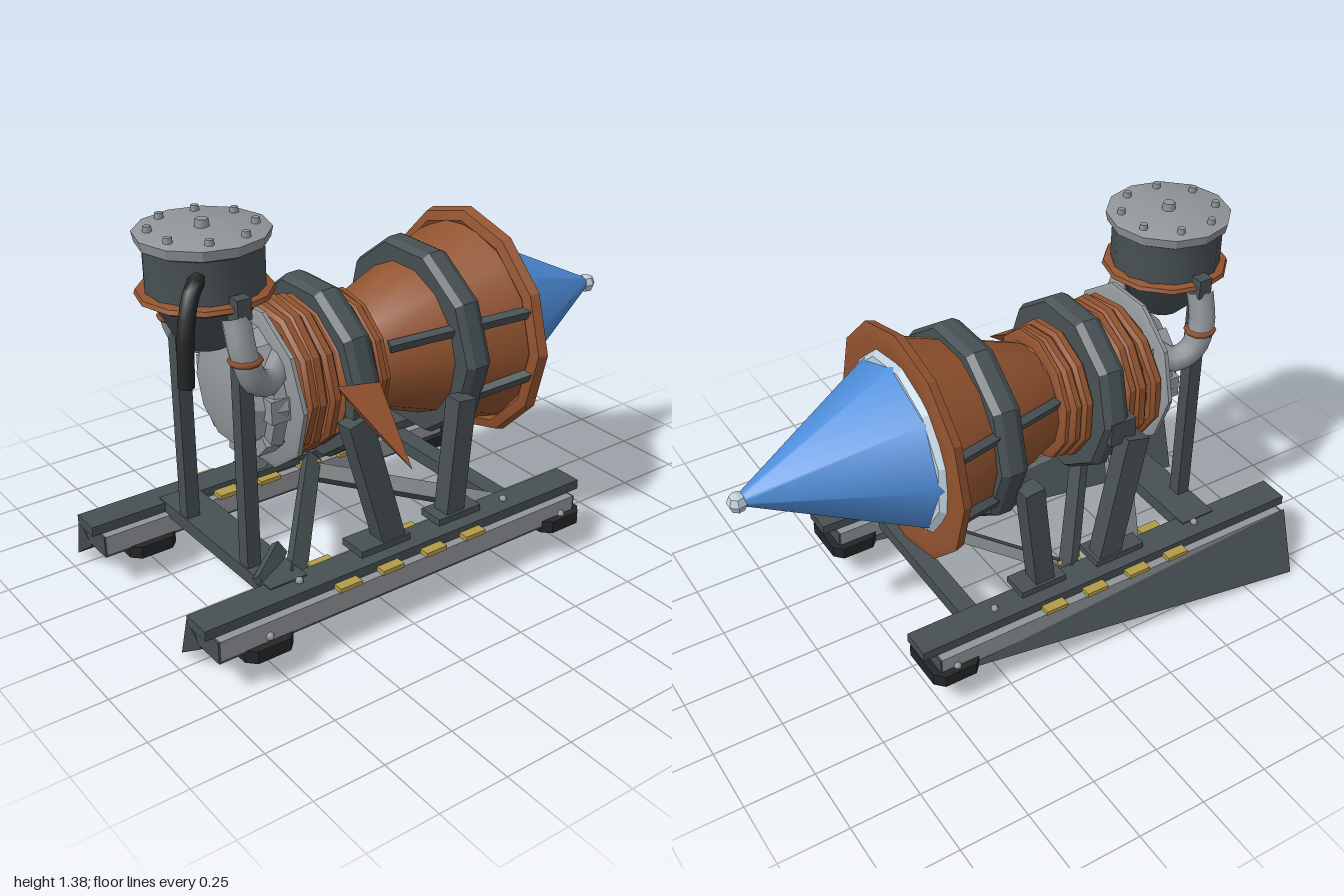
import * as THREE from 'three';
import { toCreasedNormals } from 'three/addons/utils/BufferGeometryUtils.js';
import { ConvexGeometry } from 'three/addons/geometries/ConvexGeometry.js';

const mat = (name, color) => Object.assign(new THREE.MeshStandardMaterial({ color }), { name });
const V = (x, y, z) => new THREE.Vector3(x, y, z);

export function createModel() {
  const copper = mat('copper', 0x92532f);
  const steel = mat('dark steel', 0x475053);
  const silver = mat('light metal', 0x92969a);
  const rubber = mat('black rubber', 0x242627);
  const flameBlue = mat('flame blue', 0x4f8fdc);
  const frost = mat('frost', 0xbfd0de);
  const brass = mat('brass', 0xb39c48);
  const model = new THREE.Group();
  model.name = 'engineTestStand';
  const AXIS = 0.78;

  let seed = 7;
  const rnd = () => (seed = (seed * 16807) % 2147483647) / 2147483647 - 0.5;

  const add = (name, geo, material, x = 0, y = 0, z = 0) => {
    const m = new THREE.Mesh(geo, material);
    m.name = name;
    m.position.set(x, y, z);
    model.add(m);
    return m;
  };
  const box = (name, material, w, h, d, x, y, z) => add(name, new THREE.BoxGeometry(w, h, d), material, x, y, z);
  // straight square beam between two points
  const beam = (name, material, a, b, w, d) => {
    const m = box(name, material, w, a.distanceTo(b), d, 0, 0, 0);
    m.position.copy(a).lerp(b, 0.5);
    m.quaternion.setFromUnitVectors(V(0, 1, 0), b.clone().sub(a).normalize());
    return m;
  };
  // profile of [position, radius] revolved around y
  const turned = (pts, sides, crease) =>
    toCreasedNormals(new THREE.LatheGeometry(pts.map(([p, r]) => new THREE.Vector2(r, p)), sides), crease);
  // the same laid along x on the engine axis
  const engineRing = (name, material, pts, sides = 10, crease = 0.5) =>
    add(name, turned(pts, sides, crease).rotateZ(-Math.PI / 2), material, 0, AXIS, 0);
  const band = (name, material, x, w, r, inner, sides, tilt = 0) => {
    const m = engineRing(name, material, [[-w / 2, inner], [-w / 2, r - 0.015], [-w / 4, r], [w / 4, r], [w / 2, r - 0.015], [w / 2, inner]], sides);
    m.position.x = x;
    m.rotation.z = tilt;
    return m;
  };

  // nozzle bell and rim
  engineRing('nozzleBell', copper, [[-0.15, 0], [-0.15, 0.18], [-0.12, 0.2], [0.1, 0.28], [0.35, 0.37]], 14, 0.7);
  engineRing('nozzleRim', copper,
    [[0.375, 0.3], [0.35, 0.35], [0.335, 0.375], [0.345, 0.41], [0.378, 0.42], [0.387, 0.385], [0.375, 0.3]], 12);

  // frosty edge around the flame root
  const frostGeo = new THREE.CylinderGeometry(0.305, 0.33, 0.025, 11).rotateZ(-Math.PI / 2);
  add('frostEdge', toCreasedNormals(frostGeo, 0.4), frost, 0.385, AXIS, 0);

  // flame with bead at the tip
  engineRing('flame', flameBlue, [[0.38, 0], [0.38, 0.308], [0.4, 0.302], [0.96, 0.018]], 8, 0.85);
  add('flameTip', toCreasedNormals(new THREE.SphereGeometry(0.036, 7, 4), 0.4), frost, 0.964, AXIS - 0.005, 0);

  // rods running along the bell: long upper ones, short lower ones
  for (const s of [-1, 1]) {
    const at = (x, r, t) => V(x, AXIS + r * Math.sin(t), s * r * Math.cos(t));
    beam('upperBellRod', steel, at(-0.12, 0.205, 0.42), at(0.35, 0.375, 0.39), 0.03, 0.03);
    beam('lowerBellRod', steel, at(0.15, 0.31, -0.48), at(0.35, 0.375, -0.22), 0.03, 0.03);
  }

  // clamp collars around bell and chamber
  band('bellCollar', steel, 0.14, 0.1, 0.355, 0.25, 10, 0.03);
  band('chamberCollar', steel, -0.29, 0.1, 0.32, 0.2, 10, 0.04);

  // ribbed combustion chamber
  engineRing('chamber', copper, [[-0.52, 0], [-0.52, 0.23], [-0.24, 0.22], [-0.13, 0.19], [-0.13, 0]], 12);
  for (const [x, w, r] of [[-0.485, 0.045, 0.27], [-0.435, 0.05, 0.275], [-0.385, 0.045, 0.27], [-0.34, 0.04, 0.265],
    [-0.22, 0.045, 0.25], [-0.18, 0.04, 0.24], [-0.15, 0.03, 0.235]]) {
    const rib = band('chamberRib', copper, x, w, r, 0.18, 11, rnd() * 0.09);
    rib.rotation.y = rnd() * 0.12;
  }

  // injector head behind the chamber
  band('injectorFlange', silver, -0.525, 0.03, 0.295, 0.05, 10, 0.05);
  engineRing('injectorHead', silver,
    [[-0.66, 0], [-0.66, 0.1], [-0.64, 0.18], [-0.6, 0.2], [-0.59, 0.23], [-0.55, 0.24], [-0.55, 0]], 10);
  for (let i = 0; i < 8; i++) {
    const a = (i / 8) * Math.PI * 2;
    const lug = box('injectorLug', silver, 0.07, 0.06, 0.08, -0.575, AXIS + 0.2 * Math.cos(a), 0.2 * Math.sin(a));
    lug.rotation.x = a;
  }

  // side spike on the chamber
  add('sideSpike', new ConvexGeometry([
    V(-0.41, 0.845, 0.3), V(-0.25, 0.82, 0.31), V(-0.33, 0.72, 0.3), V(-0.32, 0.64, 0.57)]), copper);

  // propellant tank with lid, hoop and bolts
  const TX = -0.69;
  add('tank', turned([[0.96, 0], [0.965, 0.07], [1.0, 0.105], [1.12, 0.165], [1.14, 0.19], [1.31, 0.19]], 14, 0.5), steel, TX);
  add('tankLid', turned([[1.305, 0], [1.305, 0.2], [1.31, 0.208], [1.343, 0.215], [1.346, 0.208], [1.35, 0]], 12, 0.5), silver, TX);
  add('tankHoop', turned([[1.125, 0.16], [1.13, 0.2], [1.142, 0.22], [1.156, 0.215], [1.164, 0.18]], 12, 0.6), copper, TX);
  for (let i = 0; i < 8; i++) {
    const a = ((i + 0.5) / 8) * Math.PI * 2;
    add('lidBolt', new THREE.CylinderGeometry(0.013, 0.015, 0.022, 6), silver,
      TX + 0.165 * Math.cos(a), 1.354, 0.165 * Math.sin(a));
  }
  add('lidCap', new THREE.CylinderGeometry(0.021, 0.024, 0.03, 6), silver, TX, 1.36, 0);

  // feed pipes and rear posts, mirrored
  for (const s of [-1, 1]) {
    const path = new THREE.CatmullRomCurve3([V(-0.7, 1.12, s * 0.19), V(-0.695, 1.0, s * 0.22),
      V(-0.66, 0.91, s * 0.22), V(-0.6, 0.88, s * 0.2), V(-0.53, 0.92, s * 0.15)]);
    add('feedPipe', new THREE.TubeGeometry(path, 12, 0.046, 8), silver);
    const cuff = add('pipeCuff', new THREE.TorusGeometry(0.046, 0.011, 5, 10), copper, -0.69, 0.985, s * 0.22);
    cuff.rotation.x = Math.PI / 2;
    box('pipeTop', steel, 0.05, 0.07, 0.05, -0.69, 1.15, s * 0.205);
    box('rearPost', steel, 0.05, 0.9, 0.05, -0.69, 0.7, s * 0.195);
  }

  // drain hose
  const hose = new THREE.CatmullRomCurve3([V(-0.79, 1.25, 0.14), V(-0.84, 1.22, 0.18), V(-0.875, 1.12, 0.2), V(-0.885, 0.94, 0.2)]);
  add('drainHose', new THREE.TubeGeometry(hose, 10, 0.026, 6), rubber);

  // flat foot slab with clipped corners
  const footShape = new THREE.Shape([[-0.09, -0.08], [-0.06, -0.112], [0.06, -0.112], [0.09, -0.08],
    [0.09, 0.08], [0.06, 0.112], [-0.06, 0.112], [-0.09, 0.08]].map(([x, y]) => new THREE.Vector2(x, y)));
  const footGeo = new THREE.ExtrudeGeometry(footShape, { depth: 0.045, bevelEnabled: false }).rotateX(-Math.PI / 2);

  // skid rails with everything attached to them
  for (const s of [-1, 1]) {
    const z = s * 0.375;
    box('railTop', steel, 1.55, 0.035, 0.11, -0.225, 0.228, z);
    box('railBody', silver, 1.46, 0.07, 0.17, -0.235, 0.175, z);
    box('railBase', steel, 1.46, 0.008, 0.17, -0.235, 0.136, z);
    for (const x of [-0.969, 0.499]) box('railEndPlate', steel, 0.008, 0.078, 0.17, x, 0.171, z);
    for (const x of [-0.48, -0.31, -0.13, 0.04]) box('brassPad', brass, 0.085, 0.016, 0.196, x, 0.219, s * 0.369);
    for (const [x, y] of [[0.44, 0.112], [-0.79, 0.095]]) {
      add('foot', footGeo, rubber, x, y, z);
      add('footBolt', new THREE.SphereGeometry(0.015, 6, 4), silver, x, 0.16, z + s * 0.088);
    }
    for (const x of [-0.62, 0.24]) add('railBolt', new THREE.SphereGeometry(0.015, 6, 4), silver, x, 0.25, z);

    // tapering runner fin that drops to the ground at the rear
    add('runnerFin', new ConvexGeometry([V(-0.985, 0.21, z - 0.085), V(-0.97, 0.12, z - 0.03), V(-0.95, 0, z - 0.2),
      V(0.5, 0.13, z - 0.08), V(0.5, 0.115, z - 0.03)]), steel);

    // leaning legs with base plates and brackets
    beam('chamberLeg', steel, V(-0.235, 0.24, s * 0.345), V(-0.355, 0.72, s * 0.315), 0.09, 0.07);
    beam('bellLeg', steel, V(0.025, 0.24, s * 0.335), V(0.075, 0.68, s * 0.33), 0.075, 0.07);
    box('legBracket', steel, 0.1, 0.09, 0.05, -0.31, 0.75, s * 0.295);
    box('legPlate', steel, 0.2, 0.025, 0.11, -0.28, 0.257, s * 0.33);
    box('legPlate', steel, 0.18, 0.025, 0.1, 0.04, 0.257, s * 0.33);
  }
  beam('rearBrace', silver, V(-0.36, 0.24, -0.31), V(-0.33, 0.66, -0.25), 0.09, 0.03);

  // cross members joining the rails
  box('crossBeam', steel, 0.14, 0.05, 0.72, -0.65, 0.225, 0);
  box('crossBeam', steel, 0.07, 0.05, 0.66, 0.3, 0.19, 0);
  beam('diagonalBrace', steel, V(-0.6, 0.22, 0.32), V(-0.1, 0.22, -0.32), 0.06, 0.04);
  beam('diagonalBrace', steel, V(0.28, 0.19, 0.32), V(-0.15, 0.19, -0.32), 0.06, 0.04);
  beam('postBrace', steel, V(-0.72, 0.24, 0.3), V(-0.58, 0.27, 0.2), 0.05, 0.03);

  return model;
}
